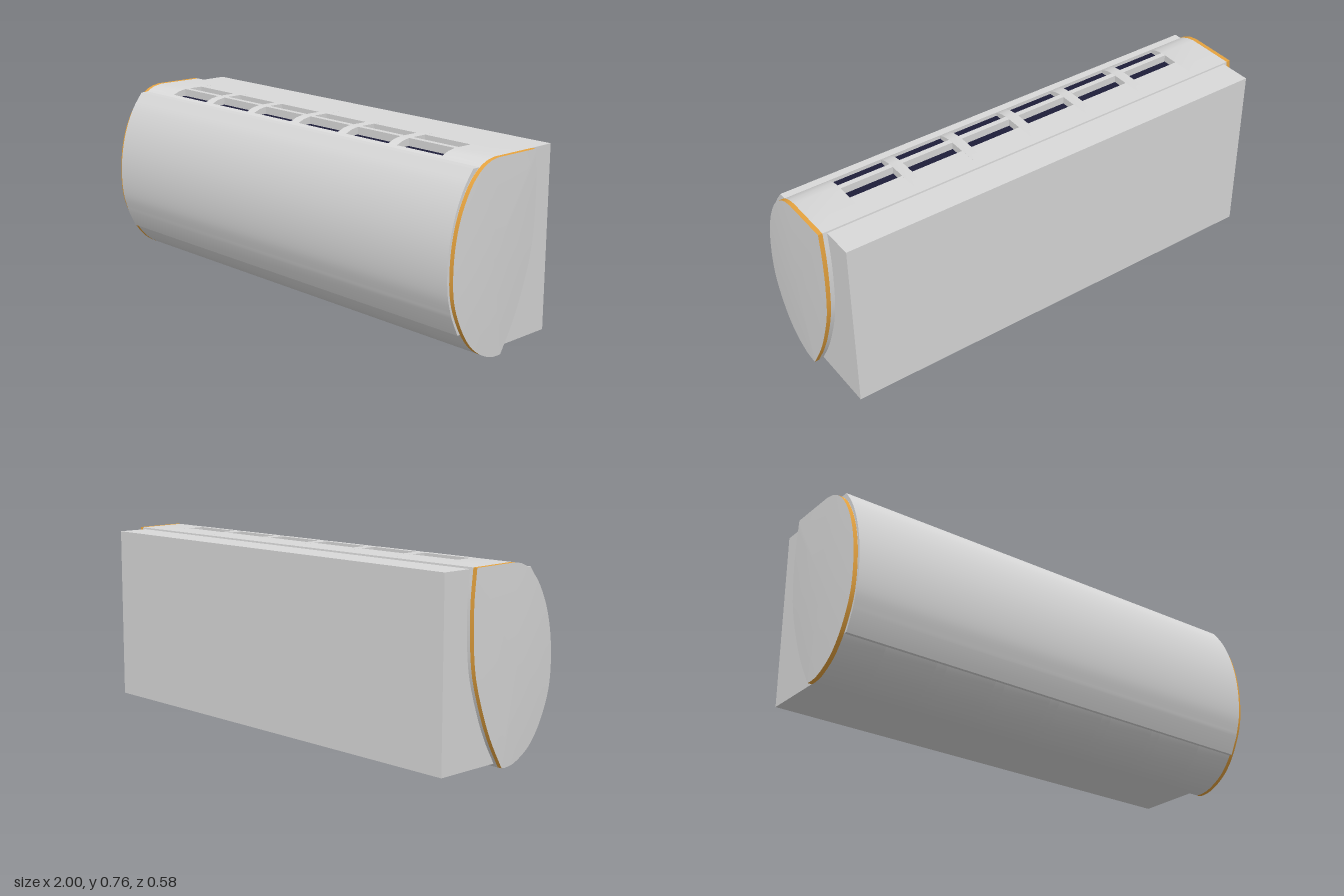
import * as THREE from 'three';
import { toCreasedNormals } from 'three/addons/utils/BufferGeometryUtils.js';

const grey = new THREE.MeshStandardMaterial({ color: 0xd9d9d9 });
grey.name = 'casingGrey';
const amber = new THREE.MeshStandardMaterial({ color: 0xeaa640 });
amber.name = 'trimAmber';
const navy = new THREE.MeshStandardMaterial({ color: 0x1e1e3a });
navy.name = 'ventNavy';

// Smooth line through [z, y] points
function smooth(points, n) {
  return new THREE.CatmullRomCurve3(points.map(([z, y]) => new THREE.Vector3(z, y, 0)))
    .getPoints(n).map((p) => [p.x, p.y]);
}

// Extrude a [z, y] section along x
function section(name, points, x0, x1, material) {
  const shape = new THREE.Shape(points.map(([z, y]) => new THREE.Vector2(-z, y)));
  let geo = new THREE.ExtrudeGeometry(shape, { depth: x1 - x0, bevelEnabled: false, steps: 1 });
  geo.rotateY(Math.PI / 2).translate(x0, 0, 0);
  geo = toCreasedNormals(geo, 0.5);
  const mesh = new THREE.Mesh(geo, material);
  mesh.name = name;
  return mesh;
}

// Casing outline: rounded front, bottom, then the leaning back
const front = smooth([[0.122, 0.741], [0.15, 0.722], [0.19, 0.681], [0.24, 0.592], [0.27, 0.49],
  [0.281, 0.38], [0.275, 0.28], [0.253, 0.205], [0.205, 0.112], [0.152, 0.052], [0.075, 0.009],
  [0.03, 0.001], [0.005, 0.002]], 48);
const back = smooth([[0, 0.01], [-0.055, 0.105], [-0.1, 0.205], [-0.15, 0.36], [-0.165, 0.48],
  [-0.167, 0.63], [-0.155, 0.757]], 20);
const top = [[0.055, 0.759], [0.092, 0.753]];
const profile = [...top, ...front, ...back];

// Same outline with the two vent slots cut into the top
const slots = [[-0.032, 0.035], [0.058, 0.122]];
const floorY = 0.724;
const slotted = [[-0.032, 0.758], [-0.032, floorY], [0.035, floorY], [0.035, 0.759],
  [0.058, 0.759], [0.058, floorY], [0.122, floorY], ...front, ...back];

// Slightly domed cover closing the end of the casing
function endCover(side) {
  const cz = 0.07, cy = 0.39, rings = 6, n = profile.length;
  const pos = [], idx = [];
  for (let r = 0; r <= rings; r++) {
    const s = 1 - r / rings;
    for (const [z, y] of profile) {
      pos.push(side * (1 - 0.006 * s * s), cy + (y - cy) * s, cz + (z - cz) * s);
    }
  }
  for (let r = 0; r < rings; r++) {
    for (let i = 0; i < n; i++) {
      const a = r * n + i, b = r * n + (i + 1) % n, c = a + n, d = b + n;
      if (side > 0) idx.push(a, b, c, b, d, c);
      else idx.push(a, c, b, b, c, d);
    }
  }
  const geo = new THREE.BufferGeometry();
  geo.setAttribute('position', new THREE.Float32BufferAttribute(pos, 3));
  geo.setIndex(idx);
  geo.computeVertexNormals();
  const mesh = new THREE.Mesh(geo, grey);
  mesh.name = side > 0 ? 'leftEndCover' : 'rightEndCover';
  return mesh;
}

export function createModel() {
  const group = new THREE.Group();
  group.name = 'wallAirConditioner';

  // Casing: solid ribs alternating with slotted bays
  const casing = new THREE.Group();
  casing.name = 'casing';
  const bays = 6, pitch = 0.272, width = 0.227, end = 0.976;
  let x = -end;
  for (let i = 0; i < bays; i++) {
    const x0 = -0.797 + i * pitch, x1 = x0 + width;
    casing.add(section('casingRib', profile, x, x0, grey));
    casing.add(section('ventBay', slotted, x0, x1, grey));
    for (const [z0, z1] of slots) {
      const floor = new THREE.Mesh(new THREE.BoxGeometry(width, 0.004, z1 - z0), navy);
      floor.position.set((x0 + x1) / 2, floorY + 0.002, (z0 + z1) / 2);
      floor.name = 'ventFloor';
      casing.add(floor);
    }
    x = x1;
  }
  casing.add(section('casingRib', profile, x, end, grey));
  group.add(casing);

  // Curved front panel standing slightly proud of the casing
  const outer = smooth([[0.168, 0.733], [0.213, 0.672], [0.253, 0.588], [0.281, 0.485],
    [0.291, 0.38], [0.284, 0.28], [0.262, 0.2]], 32);
  const panel = [[0.132, 0.733], ...outer, [0.228, 0.127], [0.2, 0.127], [0.25, 0.26],
    [0.26, 0.38], [0.245, 0.5], [0.215, 0.6], [0.165, 0.68]];
  group.add(section('frontPanel', panel, -0.975, 0.975, grey));

  // Rear box fitted against the leaning back of the casing
  const rear = [[-0.29, 0.015], [0.002, 0.015], [-0.05, 0.11], [-0.095, 0.21], [-0.143, 0.36],
    [-0.155, 0.48], [-0.156, 0.63], [-0.15, 0.75], [-0.29, 0.75]];
  group.add(section('rearBox', rear, -0.962, 0.958, grey));

  // Trim bands and end covers
  for (const side of [-1, 1]) {
    const a = side * end, b = side * 0.994;
    group.add(section(side > 0 ? 'leftTrimBand' : 'rightTrimBand', profile,
      Math.min(a, b), Math.max(a, b), amber));
    group.add(endCover(side));
  }
  return group;
}
